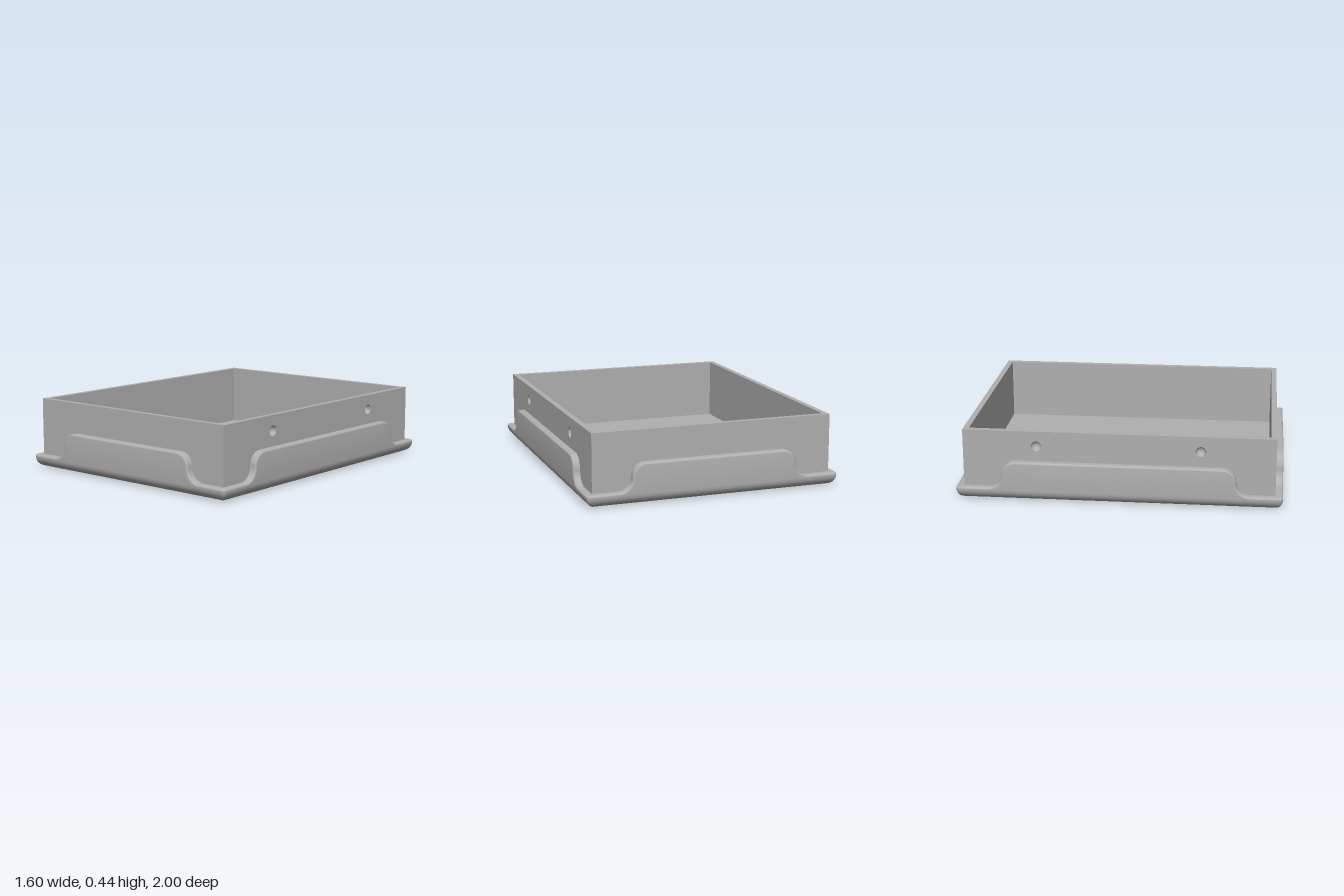
import * as THREE from 'three';
import { toCreasedNormals } from 'three/addons/utils/BufferGeometryUtils.js';

const HX = 0.8, HZ = 1;              // half footprint of the base
const R = 0.068, LIP = 0.012;        // bottom edge radius, top edge rounding
const CORNER = 0.025;                // vertical corner radius
const LOW = 0.08, HIGH = 0.25;       // skirt height at the corners and mid-side
const BX = 0.757, BZ = 0.953, WALL = 0.035, TOP = 0.44, FLOOR = 0.05;

// Top edge of one skirt side: S-curves centred on +-mid, with edge normals
function skirtOutline(mid) {
  const r = (HIGH - LOW) / 2, y = (HIGH + LOW) / 2, steps = 10, right = [];
  for (let i = 0; i <= steps; i++) {
    const a = (Math.PI / 2) * (1 - i / steps), c = Math.cos(a), s = Math.sin(a);
    right.push({ s: mid - r + r * c, h: y + r * s, ns: c, nh: s });
  }
  for (let i = 1; i <= steps; i++) {
    const a = Math.PI + (Math.PI / 2) * (i / steps), c = Math.cos(a), s = Math.sin(a);
    right.push({ s: mid + r + r * c, h: y + r * s, ns: -c, nh: -s });
  }
  right.push({ s: 9, h: LOW, ns: 0, nh: 1 }); // clamped to the corner start
  const left = right.map(p => ({ ...p, s: -p.s, ns: -p.ns })).reverse();
  return [...left, ...right];
}

// Cross-section of the skirt: inset d, and y or a distance back from the top edge
function skirtProfile() {
  const rows = [];
  for (let j = 0; j <= 8; j++) {
    const a = (j / 8) * Math.PI / 2;
    rows.push({ d: R * (1 - Math.sin(a)), y: R * (1 - Math.cos(a)) });
  }
  for (let j = 0; j <= 5; j++) {
    const a = (j / 5) * Math.PI / 2;
    rows.push({ d: LIP * (1 - Math.cos(a)), back: LIP * (1 - Math.sin(a)) });
  }
  rows.push({ d: 0.05, back: 0 });
  return rows;
}

function skirtGeometry() {
  const sides = [[0, 1, 1, 0], [1, 0, 0, -1], [0, -1, -1, 0], [-1, 0, 0, 1]];
  const positions = [], index = [];
  let columns = 0;
  const rows = skirtProfile();
  for (const row of rows) {
    columns = 0;
    const rr = Math.max(CORNER - row.d, 0.002);
    for (const [nx, nz, tx, tz] of sides) {
      const halfN = nx ? HX : HZ, halfT = nx ? HZ : HX;
      const add = (n, t, y) => {
        positions.push(nx * n + tx * t, y, nz * n + tz * t);
        columns++;
      };
      const limit = halfT - row.d - rr;
      for (const p of skirtOutline(nx ? 0.715 : 0.52)) {
        const back = row.back ?? 0;
        const t = THREE.MathUtils.clamp(p.s - p.ns * back, -limit, limit);
        add(halfN - row.d, t, row.y ?? p.h - p.nh * back);
      }
      for (let i = 1; i < 6; i++) {
        const a = (i / 6) * Math.PI / 2;
        add(halfN - row.d - rr + rr * Math.cos(a), limit + rr * Math.sin(a), row.y ?? LOW - row.back);
      }
    }
  }
  for (let k = 0; k < rows.length - 1; k++) {
    for (let i = 0; i < columns; i++) {
      const j = (i + 1) % columns, a = k * columns, b = a + columns;
      index.push(a + i, a + j, b + j, a + i, b + j, b + i);
    }
  }
  const g = new THREE.BufferGeometry();
  g.setAttribute('position', new THREE.Float32BufferAttribute(positions, 3));
  g.setIndex(index);
  return toCreasedNormals(g, 0.6);
}

// Side wall with two round openings, facing +z before it is turned
function sideWallGeometry(dimples, radius, y0) {
  const s = new THREE.Shape();
  s.moveTo(-BZ, y0).lineTo(BZ, y0).lineTo(BZ, TOP).lineTo(-BZ, TOP).closePath();
  for (const [x, y] of dimples) {
    s.holes.push(new THREE.Path().absarc(x, y, radius, 0, Math.PI * 2, true));
  }
  return new THREE.ExtrudeGeometry(s, { depth: WALL - 0.002, bevelEnabled: false, curveSegments: 24 });
}

export function createModel() {
  const model = new THREE.Group();
  model.name = 'tray';
  const grey = new THREE.MeshStandardMaterial({ color: 0xb0b0b0 });
  grey.name = 'grey';
  const greyOpen = new THREE.MeshStandardMaterial({ color: 0xb0b0b0, side: THREE.DoubleSide });
  greyOpen.name = 'grey open surface';

  const add = (parent, name, geometry, x = 0, y = 0, z = 0, material = grey) => {
    const m = new THREE.Mesh(geometry, material);
    m.name = name;
    m.position.set(x, y, z);
    parent.add(m);
    return m;
  };

  // Rounded base with its raised skirt
  add(model, 'skirt', skirtGeometry(), 0, 0, 0, greyOpen);
  add(model, 'underside', new THREE.PlaneGeometry(2 * (HX - R), 2 * (HZ - R)).rotateX(Math.PI / 2));

  // Box floor and end walls
  const y0 = 0.03, height = TOP - y0;
  add(model, 'floor', new THREE.BoxGeometry(2 * BX - 0.02, FLOOR - y0, 2 * BZ - 0.02), 0, (FLOOR + y0) / 2, 0);
  for (const side of [1, -1]) {
    add(model, side > 0 ? 'frontWall' : 'backWall',
      new THREE.BoxGeometry(2 * (BX - WALL), height, WALL), 0, y0 + height / 2, side * (BZ - WALL / 2));
  }

  // Side walls with round dimples on the outside
  const dimples = [[-0.5, 0.345], [0.5, 0.345]], radius = 0.032;
  for (const side of [1, -1]) {
    const wall = new THREE.Group();
    wall.name = side > 0 ? 'leftWall' : 'rightWall';
    wall.rotation.y = side * Math.PI / 2;
    wall.position.x = side * (BX - WALL);
    add(wall, 'innerLining', new THREE.BoxGeometry(2 * BZ, height, 0.002), 0, y0 + height / 2, 0.001);
    add(wall, 'outerPanel', sideWallGeometry(dimples, radius, y0), 0, 0, 0.002);
    for (const [x, y] of dimples) {
      const cup = new THREE.SphereGeometry(radius, 24, 10, 0, Math.PI * 2, 0, Math.PI / 2).rotateX(-Math.PI / 2);
      add(wall, 'dimple', cup, x, y, WALL, greyOpen);
    }
    model.add(wall);
  }
  return model;
}
